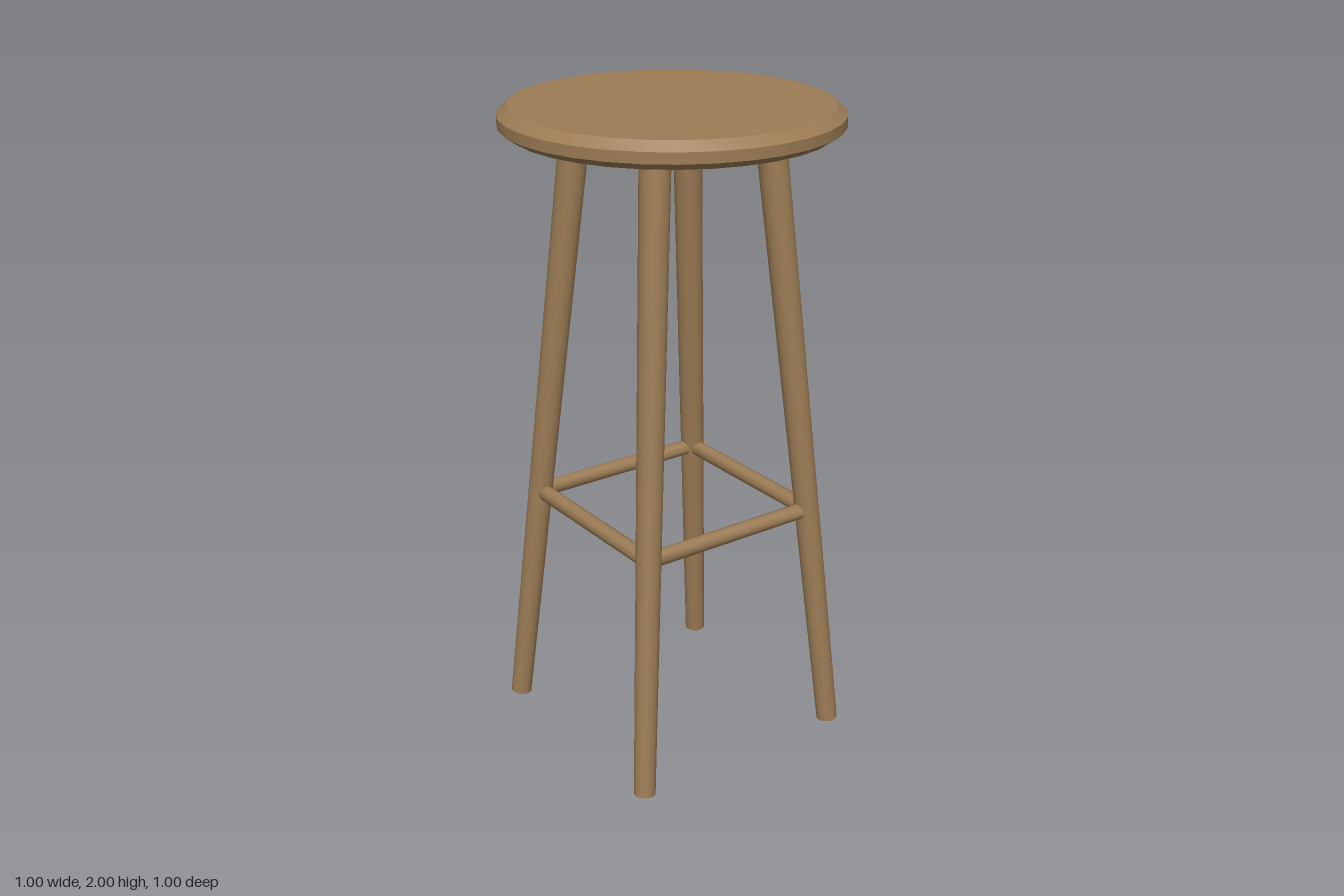
import * as THREE from 'three';
import { toCreasedNormals } from 'three/addons/utils/BufferGeometryUtils.js';

const wood = new THREE.MeshStandardMaterial({ color: 0x9c7c55 });
wood.name = 'wood';

// Tapered round rod between two points
function rod(name, from, to, r0, r1, sides, crease) {
  const dir = to.clone().sub(from);
  const geometry = toCreasedNormals(new THREE.CylinderGeometry(r1, r0, dir.length(), sides), crease);
  const mesh = new THREE.Mesh(geometry, wood);
  mesh.name = name;
  mesh.position.copy(from).add(to).multiplyScalar(0.5);
  mesh.quaternion.setFromUnitVectors(new THREE.Vector3(0, 1, 0), dir.normalize());
  return mesh;
}

export function createModel() {
  const stool = new THREE.Group();
  stool.name = 'stool';

  // Round seat with bevelled rim and very slightly bowed underside
  const profile = [[0, 1.914], [0.2, 1.916], [0.47, 1.922], [0.5, 1.943], [0.5, 1.975], [0.47, 2], [0, 2]]
    .map(([r, y]) => new THREE.Vector2(r, y));
  const seat = new THREE.Mesh(toCreasedNormals(new THREE.LatheGeometry(profile, 32), 0.5), wood);
  seat.name = 'seat';
  stool.add(seat);

  // Four splayed legs, wider at the top
  for (const [side, sx] of [['Left', 1], ['Right', -1]]) {
    for (const [end, sz] of [['front', 1], ['back', -1]]) {
      stool.add(rod(`${end}${side}Leg`,
        new THREE.Vector3(sx * 0.362, 0.004, sz * 0.362),
        new THREE.Vector3(sx * 0.199, 1.93, sz * 0.199), 0.033, 0.045, 20, 0.6));
    }
  }

  // Four stretchers joining the legs in a square
  const s = 0.299, y = 0.75;
  ['front', 'left', 'back', 'right'].forEach((side, i) => {
    const turn = (x, z) => new THREE.Vector3(x, y, z).applyAxisAngle(new THREE.Vector3(0, 1, 0), i * Math.PI / 2).setY(y);
    stool.add(rod(`${side}Stretcher`, turn(-s, s), turn(s, s), 0.025, 0.025, 8, 0.9));
  });

  return stool;
}
